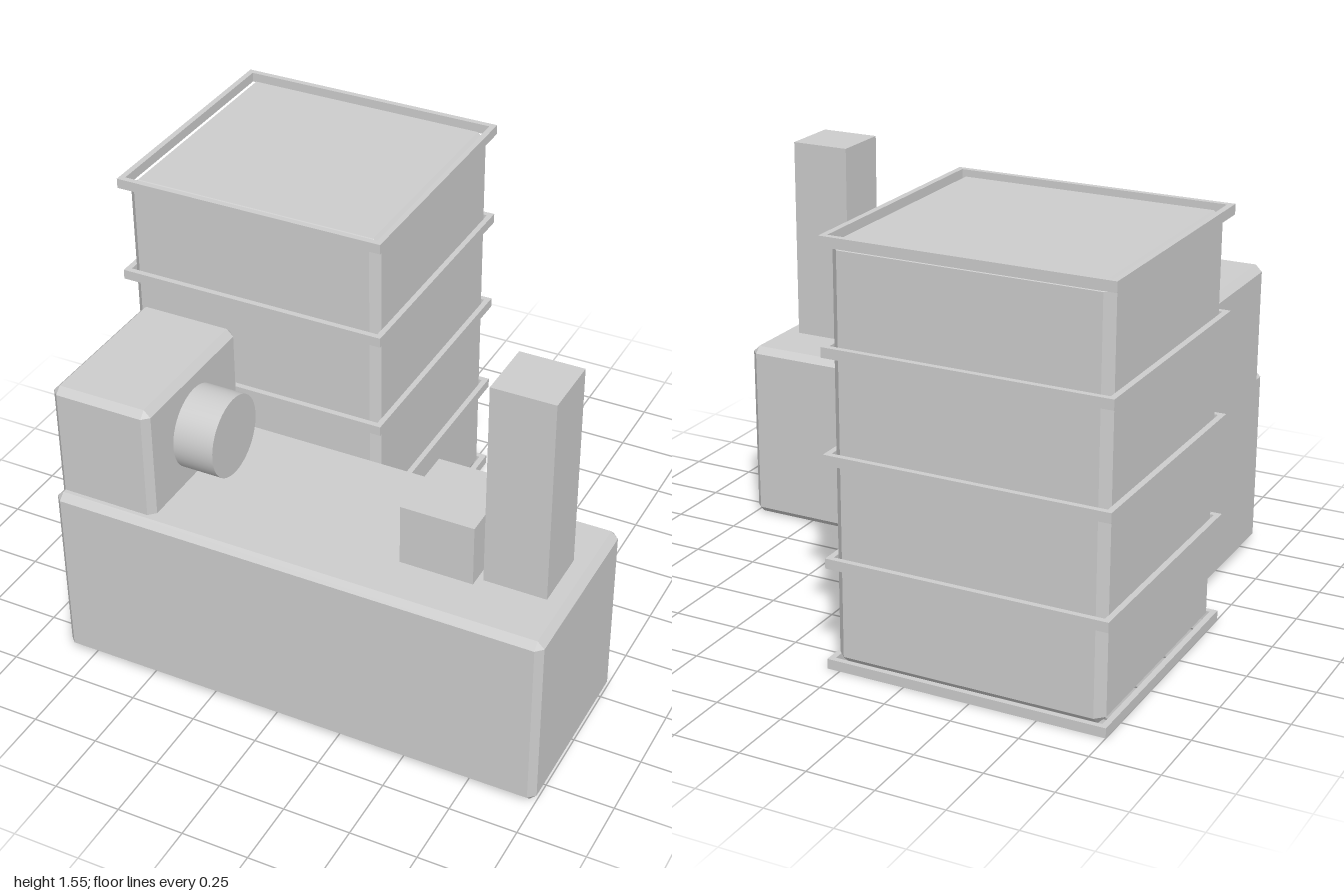
import * as THREE from 'three';
import { ConvexGeometry } from 'three/addons/geometries/ConvexGeometry.js';

const grey = new THREE.MeshStandardMaterial({ color: 0xcccccc });
grey.name = 'light grey';

function addMesh(group, name, geometry) {
  const mesh = new THREE.Mesh(geometry, grey);
  mesh.name = name;
  group.add(mesh);
  return mesh;
}

// Plain box given by its minimum and maximum corners
function addBox(group, name, min, max) {
  const size = max.map((v, i) => v - min[i]);
  const mesh = addMesh(group, name, new THREE.BoxGeometry(...size));
  mesh.position.set(...max.map((v, i) => (v + min[i]) / 2));
  return mesh;
}

// Box with every edge cut at 45 degrees
function addChamferedBox(group, name, min, max, c) {
  const half = max.map((v, i) => (v - min[i]) / 2);
  const points = [];
  for (const sx of [-1, 1]) for (const sy of [-1, 1]) for (const sz of [-1, 1]) {
    const sign = [sx, sy, sz];
    for (let face = 0; face < 3; face++) {
      points.push(new THREE.Vector3(...half.map((h, i) => sign[i] * (i === face ? h : h - c))));
    }
  }
  const mesh = addMesh(group, name, new ConvexGeometry(points));
  mesh.position.set(...max.map((v, i) => (v + min[i]) / 2));
  return mesh;
}

// Square ledge ring with an open middle, lying flat
function ledgeGeometry(width, depth, rim, height) {
  const rect = (target, w, d) => {
    target.moveTo(-w / 2, -d / 2);
    target.lineTo(w / 2, -d / 2);
    target.lineTo(w / 2, d / 2);
    target.lineTo(-w / 2, d / 2);
    target.closePath();
    return target;
  };
  const shape = rect(new THREE.Shape(), width, depth);
  shape.holes.push(rect(new THREE.Path(), width - 2 * rim, depth - 2 * rim));
  return new THREE.ExtrudeGeometry(shape, { depth: height, bevelEnabled: false }).rotateX(-Math.PI / 2);
}

export function createModel() {
  const model = new THREE.Group();
  model.name = 'blockBuildings';

  // Tower with a ledge at each storey
  const tower = new THREE.Group();
  tower.name = 'tower';
  model.add(tower);
  addChamferedBox(tower, 'towerBody', [-0.977, 0.015, -0.847], [0.027, 1.535, 0.087], 0.032);
  const ledge = ledgeGeometry(1.048, 0.978, 0.022, 0.037);
  for (let i = 0; i < 5; i++) {
    const ring = addMesh(tower, 'ledge' + (i + 1), ledge);
    ring.position.set(-0.476, i * 0.3785, -0.38);
  }

  // Long low hall
  const hall = new THREE.Group();
  hall.name = 'hall';
  model.add(hall);
  addChamferedBox(hall, 'hallBody', [-0.86, 0, 0.165], [1, 0.7, 0.86], 0.025);

  // Raised block with a round port on its side
  addChamferedBox(hall, 'raisedBlock', [-0.86, 0.65, 0.205], [-0.475, 1.127, 0.82], 0.025);
  const port = addMesh(hall, 'roundPort', new THREE.CylinderGeometry(0.153, 0.153, 0.18, 48));
  port.rotation.z = Math.PI / 2;
  port.position.set(-0.41, 0.897, 0.512);

  // Roof box and chimney
  addBox(hall, 'roofBox', [0.397, 0.68, 0.36], [0.668, 0.932, 0.664]);
  addBox(hall, 'chimney', [0.69, 0.68, 0.397], [0.92, 1.477, 0.628]);

  return model;
}
